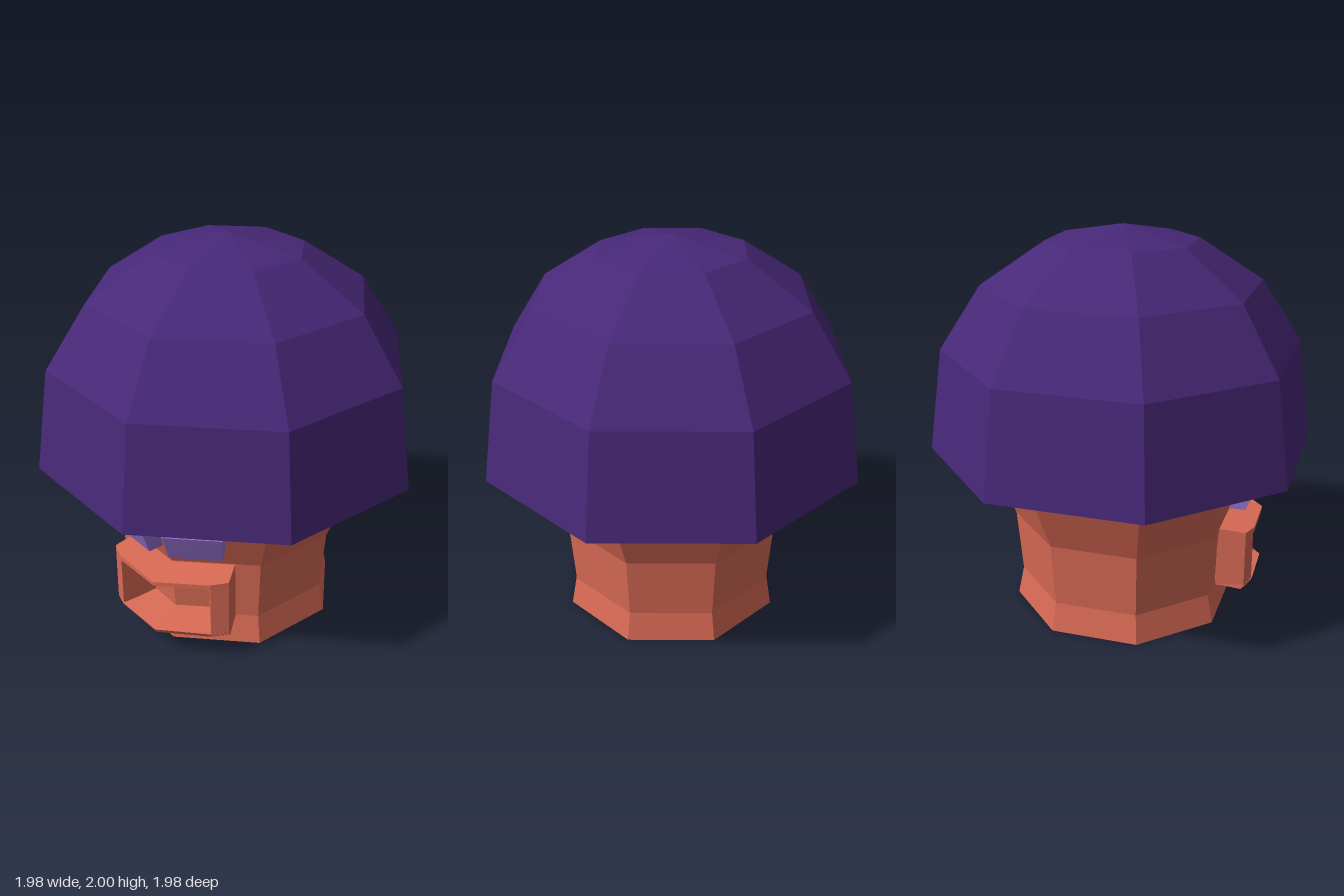
import * as THREE from 'three';

const material = (name, color) => {
  const m = new THREE.MeshStandardMaterial({ color });
  m.name = name;
  return m;
};

// faceted mesh: every face keeps its own normal
function facet(geometry, mat, name) {
  const flat = geometry.index ? geometry.toNonIndexed() : geometry;
  flat.computeVertexNormals();
  const mesh = new THREE.Mesh(flat, mat);
  mesh.name = name;
  return mesh;
}

// eight-sided turned body, profile listed from bottom to top
const turned = (profile, mat, name) =>
  facet(new THREE.LatheGeometry(profile.map(([r, y]) => new THREE.Vector2(r, y)), 8), mat, name);

// solid between a lower and an upper loop of [x, y, z] points; side -1 mirrors it
function loft(lower, upper, side) {
  const place = (loop) => {
    const out = loop.map(([x, y, z]) => [x * side, y, z]);
    return side < 0 ? out.reverse() : out;
  };
  const lo = place(lower), hi = place(upper), n = lo.length, pos = [];
  const tri = (a, b, c) => pos.push(...a, ...b, ...c);
  for (let i = 0; i < n; i++) {
    const j = (i + 1) % n;
    tri(lo[i], lo[j], hi[j]);
    tri(lo[i], hi[j], hi[i]);
    if (i > 0 && i < n - 1) {
      tri(hi[0], hi[i], hi[j]);
      tri(lo[0], lo[j], lo[i]);
    }
  }
  const g = new THREE.BufferGeometry();
  g.setAttribute('position', new THREE.Float32BufferAttribute(pos, 3));
  return g;
}

export function createModel() {
  const group = new THREE.Group();
  const purple = material('deepPurple', 0x472878);
  const coral = material('coral', 0xd96a55);
  const lilac = material('lilac', 0x9673cf);

  // domed cap with a shallow underside
  group.add(turned([[0, 0.82], [0.72, 0.825], [0.99, 0.865], [0.915, 1.39],
    [0.705, 1.71], [0.38, 1.925], [0, 2]], purple, 'cap'));

  // waisted stem
  const stem = turned([[0, 0], [0.583, 0], [0.552, 0.15], [0.58, 0.48], [0.72, 0.825]], coral, 'stem');
  stem.position.z = 0.01;
  group.add(stem);

  // plan of the mouth lips [x, z]: front ridge, around the corner, back to the stem
  const plan = [[0, 0.76], [0.26, 0.66], [0.33, 0.6], [0.29, 0.46], [0, 0.54]];
  const level = (ys, trim = 0) => plan.map(([x, z], i) => [x, ys[i], i < 3 ? z - trim : z]);
  // plan of the block that closes each end of the mouth
  const cheek = [[0.26, 0.655], [0.33, 0.6], [0.29, 0.46], [0.15, 0.48]];

  for (const side of [1, -1]) {
    const label = side > 0 ? 'left' : 'right';

    // slanted eye block lying on one front face of the stem
    const row = (inner, outer, y) => [
      [inner[0], y, inner[1]], [outer[0], y, outer[1]],
      [outer[0] - 0.04, y, outer[1] - 0.11], [inner[0] - 0.04, y, inner[1] - 0.11]];
    group.add(facet(loft(row([0.055, 0.7], [0.295, 0.6], 0.58),
      row([0.06, 0.76], [0.325, 0.65], 0.73), side), lilac, label + 'Eye'));

    // mouth frame: upper lip, lower lip and end block
    const mouth = new THREE.Group();
    mouth.name = label + 'MouthHalf';
    mouth.add(facet(loft(level([0.435, 0.435, 0.44, 0.44, 0.44]),
      level([0.455, 0.462, 0.465, 0.478, 0.478]), side), coral, 'upperLip'));
    mouth.add(facet(loft(level([0.14, 0.14, 0.14, 0.155, 0.155], 0.015),
      level([0.165, 0.165, 0.165, 0.19, 0.19]), side), coral, 'lowerLip'));
    mouth.add(facet(loft(cheek.map(([x, z]) => [x, 0.15, z]),
      cheek.map(([x, z]) => [x, 0.455, z]), side), coral, 'mouthEnd'));
    group.add(mouth);
  }
  return group;
}
